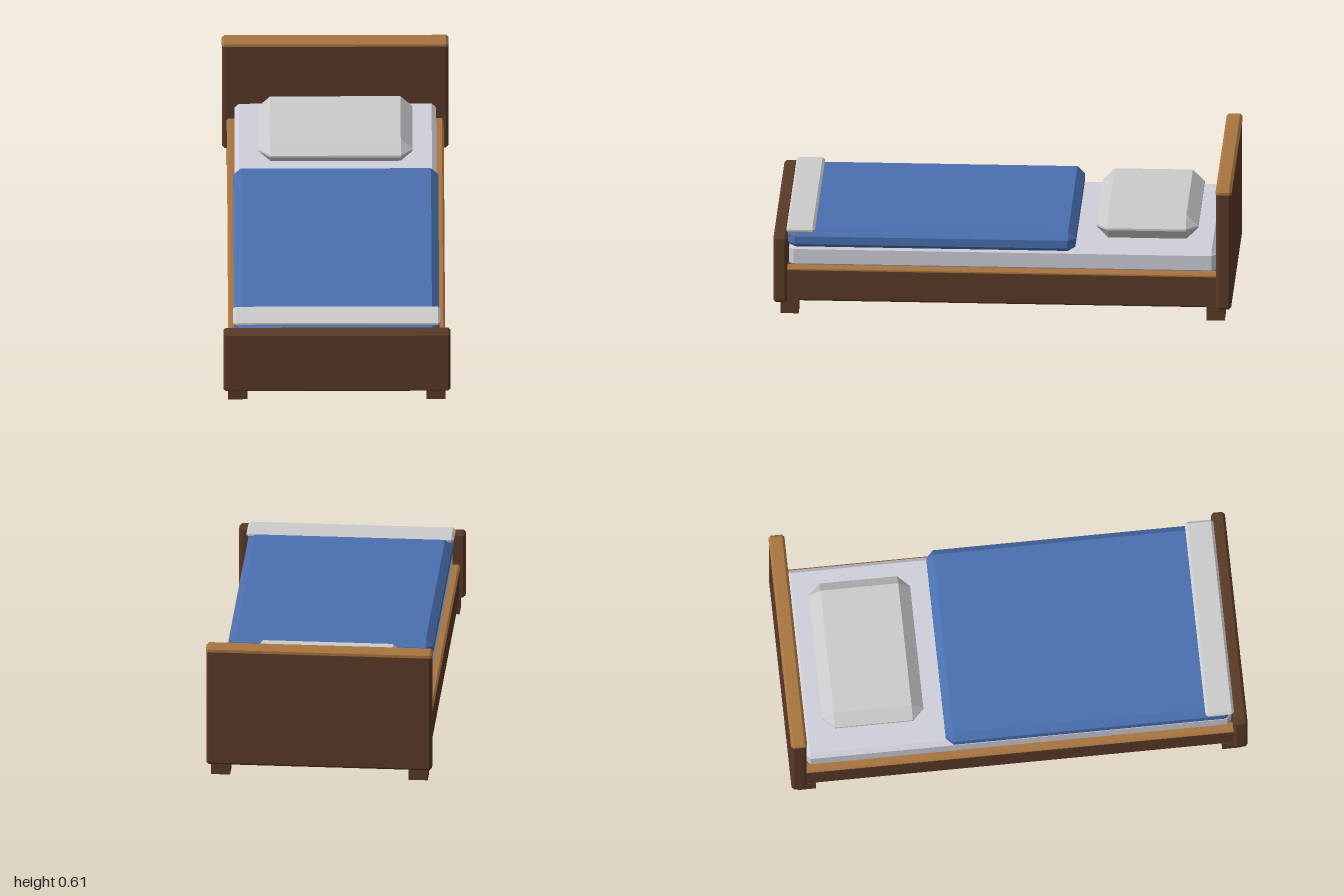
import * as THREE from 'three';
import { ConvexGeometry } from 'three/addons/geometries/ConvexGeometry.js';

const mat = (color) => new THREE.MeshStandardMaterial({ color, flatShading: true });
const darkWood = mat(0x5a3a28);
const lightWood = mat(0xa8743f);
const linen = mat(0xdddddd);
const mattressCloth = mat(0xd0d0dc);
const blue = mat(0x4a70b0);

// Box between two corners with every edge bevelled by c
function bevelBox(name, material, min, max, c) {
  const centre = min.map((v, i) => (v + max[i]) / 2);
  const half = min.map((v, i) => (max[i] - v) / 2);
  const points = [];
  for (const sx of [-1, 1]) for (const sy of [-1, 1]) for (const sz of [-1, 1]) {
    const s = [sx, sy, sz];
    for (let full = 0; full < 3; full++) {
      points.push(new THREE.Vector3(...half.map((h, i) => s[i] * (i === full ? h : h - c))));
    }
  }
  const mesh = new THREE.Mesh(new ConvexGeometry(points), material);
  mesh.name = name;
  mesh.position.set(...centre);
  return mesh;
}

export function createModel() {
  const bed = new THREE.Group();
  bed.name = 'bed';

  // Frame: end boards and closed base
  bed.add(
    bevelBox('headboard', darkWood, [-0.493, 0.055, -0.998], [0.493, 0.6, -0.932], 0.011),
    bevelBox('headboardCap', lightWood, [-0.495, 0.578, -1], [0.495, 0.612, -0.93], 0.011),
    bevelBox('footboard', darkWood, [-0.495, 0.055, 0.94], [0.495, 0.36, 1], 0.011),
    bevelBox('base', darkWood, [-0.47, 0.057, -0.95], [0.47, 0.205, 0.96], 0.008)
  );

  // Side rail caps and feet, mirrored
  for (const side of [-1, 1]) {
    const cap = bevelBox('railCap', lightWood, [-0.024, 0.192, -0.94], [0.024, 0.214, 0.95], 0.008);
    cap.position.x = side * 0.449;
    bed.add(cap);
    for (const end of [-1, 1]) {
      const foot = new THREE.Mesh(new THREE.BoxGeometry(0.083, 0.065, 0.08), darkWood);
      foot.name = 'foot';
      foot.position.set(side * 0.432, 0.0325, end * 0.93);
      bed.add(foot);
    }
  }

  // Bedding
  bed.add(
    bevelBox('mattress', mattressCloth, [-0.44, 0.2, -0.93], [0.44, 0.306, 0.935], 0.02),
    bevelBox('blanket', blue, [-0.447, 0.28, -0.315], [0.447, 0.38, 0.94], 0.032),
    bevelBox('foldedSheet', linen, [-0.453, 0.361, 0.82], [0.453, 0.391, 0.945], 0.011),
    bevelBox('pillow', linen, [-0.336, 0.308, -0.845], [0.336, 0.421, -0.4], 0.052)
  );

  return bed;
}
